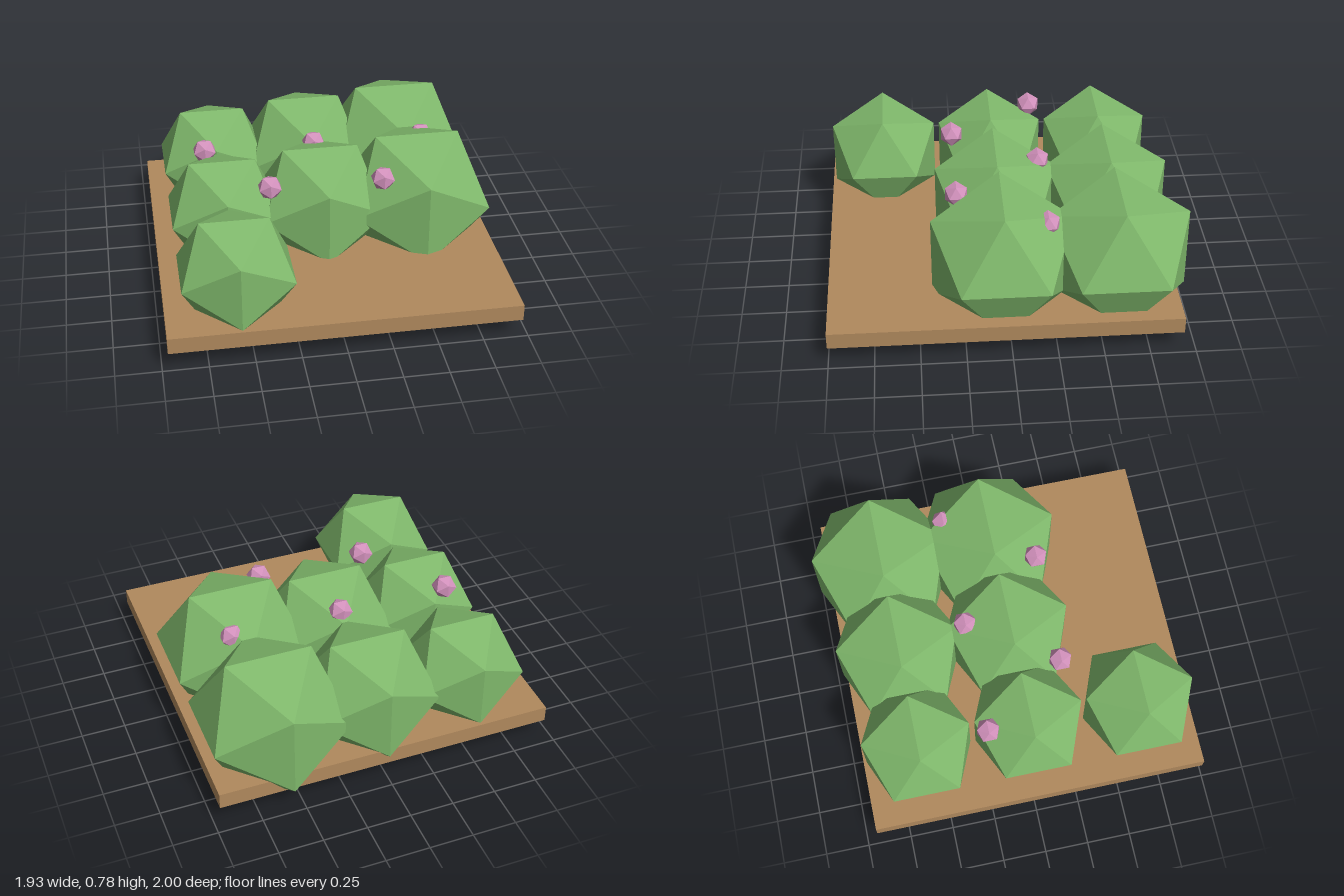
import * as THREE from 'three';

export function createModel() {
  const model = new THREE.Group();
  const material = (name, color) => {
    const m = new THREE.MeshStandardMaterial({ color, flatShading: true });
    m.name = name;
    return m;
  };
  const wood = material('wood', 0xb0895d);
  const leaf = material('leaf green', 0x7fb86b);
  const pink = material('blossom pink', 0xd291bc);

  const add = (name, geometry, mat, x, y, z) => {
    const mesh = new THREE.Mesh(geometry, mat);
    mesh.name = name;
    mesh.position.set(x, y, z);
    model.add(mesh);
  };

  // Flat tray under the bushes
  add('tray', new THREE.BoxGeometry(1.93, 0.094, 1.935), wood, 0, 0.158, 0.0325);

  // Columns of bushes, growing larger toward +x; only the first has a front bush
  const columns = [
    { x: -0.564, r: 0.36, rows: [-0.61, 0.033, 0.676] },
    { x: 0, r: 0.409, rows: [-0.61, 0.033] },
    { x: 0.564, r: 0.458, rows: [-0.61, 0.033] },
  ];
  for (const { x, r, rows } of columns) {
    const bush = new THREE.IcosahedronGeometry(r, 0);
    for (const z of rows) add('bush', bush, leaf, x, 0.391, z);
  }

  // Small blossoms between the bushes
  const blossom = new THREE.IcosahedronGeometry(0.072, 0);
  for (const [x, z] of [[-0.643, -0.211], [0, -0.211], [0.643, -0.211], [-0.321, 0.271], [0.321, 0.271]]) {
    add('blossom', blossom, pink, x, 0.644, z);
  }
  return model;
}
